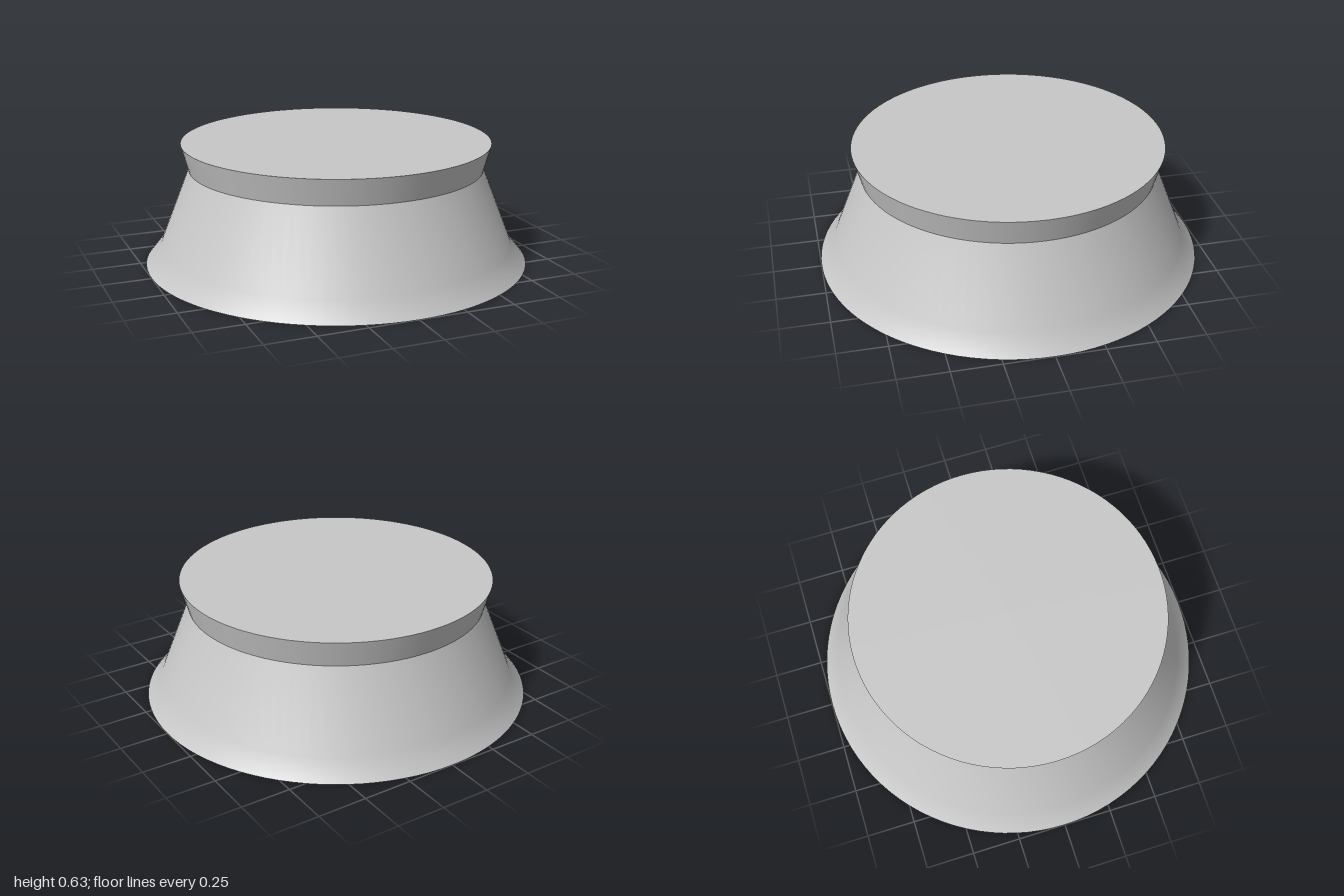
import * as THREE from 'three';

export function createModel() {
  const model = new THREE.Group();
  model.name = 'roundPedestal';
  const grey = new THREE.MeshStandardMaterial({ color: 0xc8c8c8, side: THREE.DoubleSide });
  grey.name = 'light grey';
  const segments = 96;

  // Thin turned shell from [radius, height] points, listed bottom to top
  const addShell = (name, profile) => {
    const points = profile.map(([r, y]) => new THREE.Vector2(r, y));
    const mesh = new THREE.Mesh(new THREE.LatheGeometry(points, segments), grey);
    mesh.name = name;
    model.add(mesh);
  };

  // Flared skirt, open underneath
  addShell('skirt', [[1, 0], [0.92, 0.1], [0.765, 0.493]]);

  // Collar widening up to the rim
  addShell('collar', [[0.765, 0.493], [0.802, 0.63]]);

  // Flat lid
  const lid = new THREE.Mesh(new THREE.CircleGeometry(0.802, segments), grey);
  lid.name = 'topDisc';
  lid.rotation.x = -Math.PI / 2;
  lid.position.y = 0.63;
  model.add(lid);

  return model;
}
